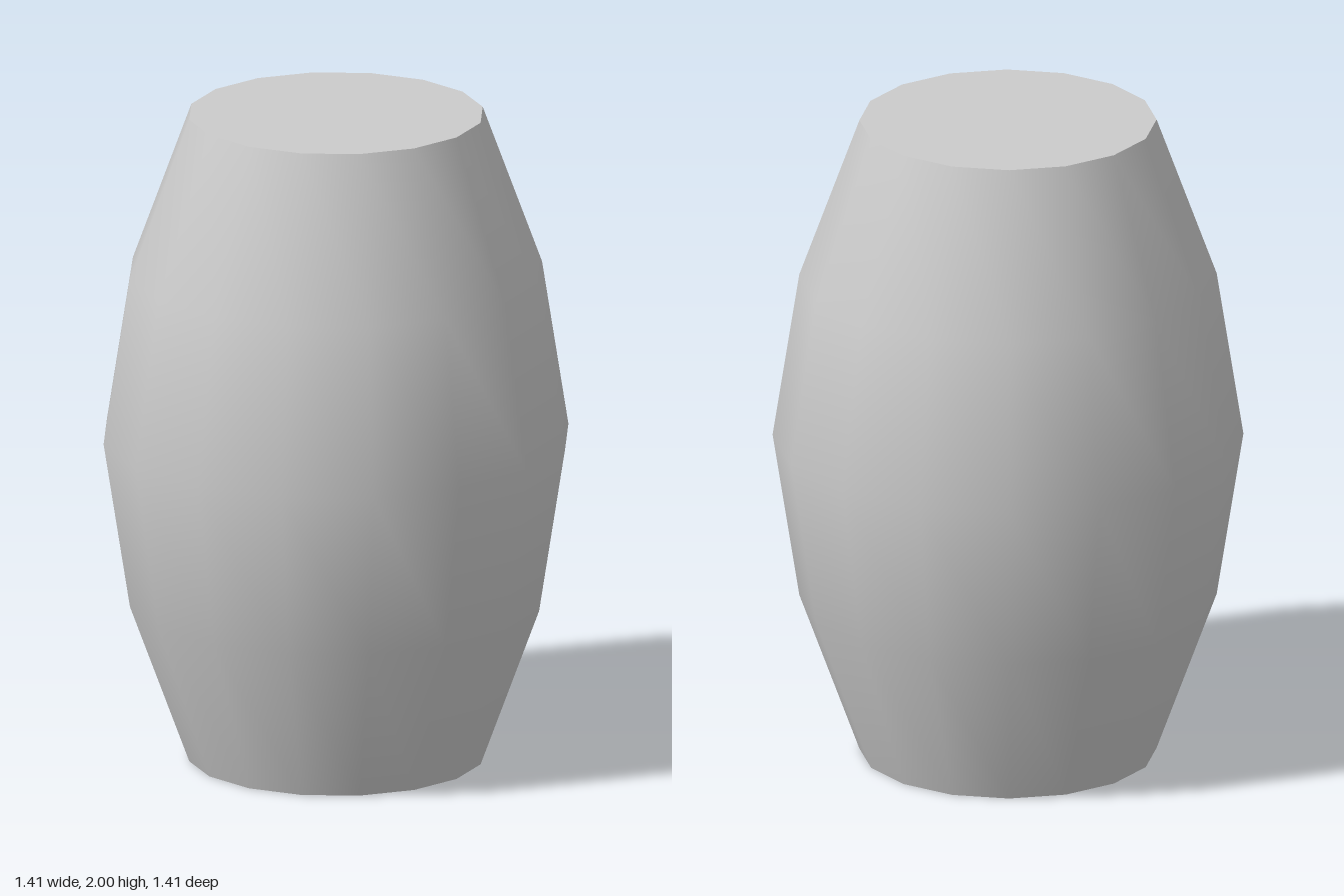
import * as THREE from 'three';

export function createModel() {
  const SIDES = 16;
  const END_RADIUS = 0.445;
  const HEIGHT = 2;
  const material = new THREE.MeshStandardMaterial({ color: 0xcccccc });
  const barrel = new THREE.Group();
  barrel.name = 'barrel';

  const add = (name, geometry) => {
    const mesh = new THREE.Mesh(geometry, material);
    mesh.name = name;
    barrel.add(mesh);
    return mesh;
  };

  // Bulging staves, smooth shaded, from bottom to top
  const profile = [
    [END_RADIUS, 0], [0.625, 0.49], [0.705, 1], [0.625, 1.51], [END_RADIUS, HEIGHT],
  ].map(([r, y]) => new THREE.Vector2(r, y));
  add('staves', new THREE.LatheGeometry(profile, SIDES));

  // Flat heads closing both ends
  const head = new THREE.CircleGeometry(END_RADIUS, SIDES);
  const topHead = add('topHead', head);
  topHead.rotation.x = -Math.PI / 2;
  topHead.position.y = HEIGHT;
  add('bottomHead', head).rotation.x = Math.PI / 2;

  return barrel;
}
